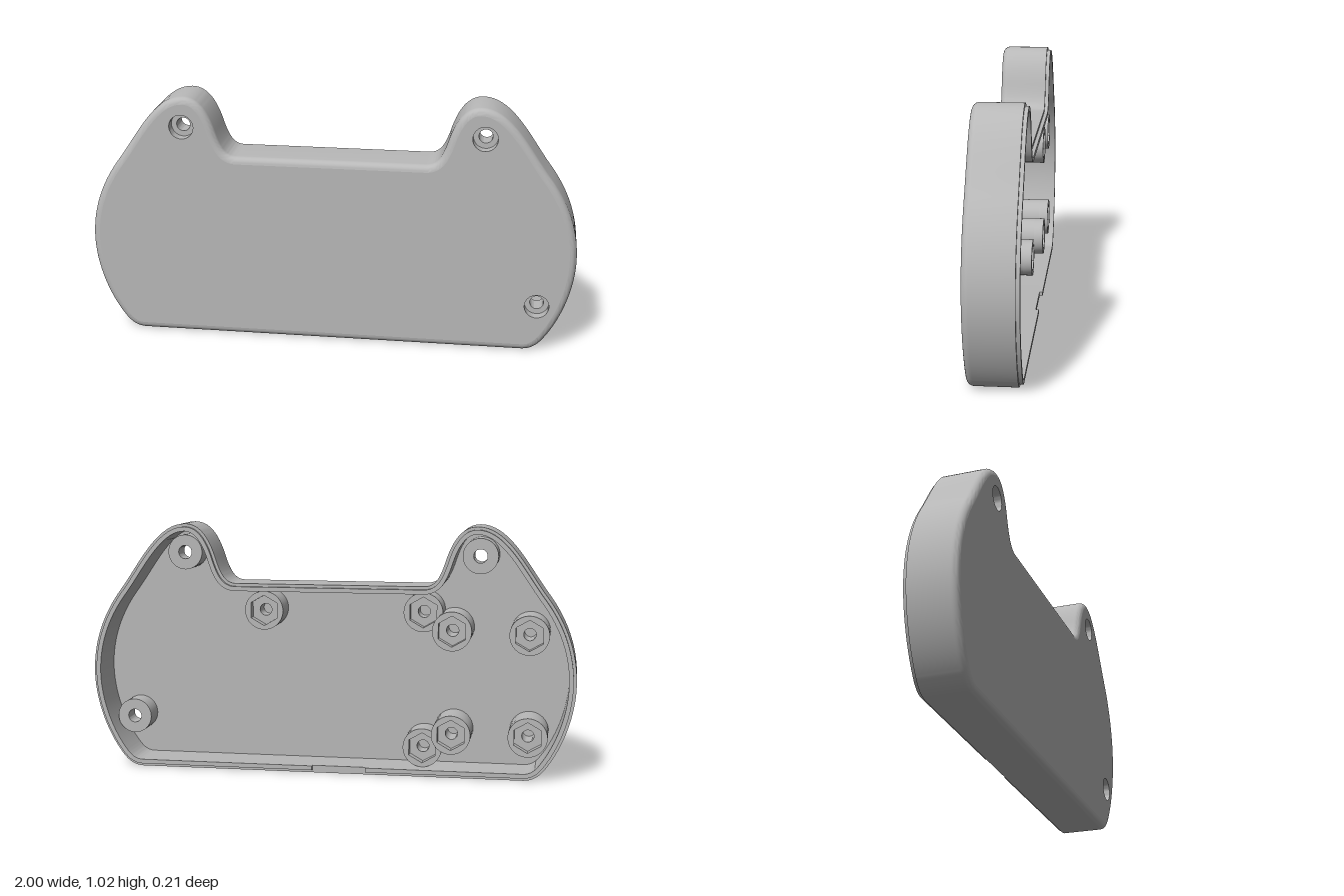
import * as THREE from 'three';
import { toCreasedNormals } from 'three/addons/utils/BufferGeometryUtils.js';

const FRONT = 0.105, FLOOR = 0.07, SEAM = -0.09, LIP = -0.105;
const WALL = 0.03, FILLET = 0.028;
const NOTCH = [-0.15, 0.068];
const SCREWS = [[-0.607, 0.9], [0.618, 0.9], [0.85, 0.2]];

// Closed counter-clockwise outline: right half from curves, left half mirrored
function makeOutline() {
  const s = new THREE.Shape();
  s.moveTo(0.79, 0);
  s.bezierCurveTo(0.835, 0, 0.862, 0.02, 0.89, 0.06);
  s.bezierCurveTo(0.955, 0.15, 1, 0.28, 1, 0.4);
  s.bezierCurveTo(1, 0.53, 0.955, 0.645, 0.88, 0.745);
  s.bezierCurveTo(0.8, 0.85, 0.72, 1.022, 0.6, 1.022);
  s.bezierCurveTo(0.545, 1.022, 0.505, 0.98, 0.475, 0.89);
  s.bezierCurveTo(0.45, 0.81, 0.43, 0.78, 0.385, 0.78);
  const right = s.getPoints(18);
  const left = right.map(p => new THREE.Vector2(-p.x, p.y)).reverse();
  // extra points where the lip notch begins and ends
  const bottom = [NOTCH[0] - 0.002, NOTCH[0], NOTCH[1], NOTCH[1] + 0.002]
    .map(x => new THREE.Vector2(x, 0));
  return [...right, ...left, ...bottom];
}

// Move the outline inwards along its normals
function inset(points, d) {
  const n = points.length;
  return points.map((p, i) => {
    const t = points[(i + 1) % n].clone().sub(points[(i + n - 1) % n]).normalize();
    return new THREE.Vector2(p.x - t.y * d, p.y + t.x * d);
  });
}

// Inner wall, stepped lip, outer wall and rounded front edge as one loft
function shellGeometry(outline) {
  const sections = [[WALL, FLOOR], [WALL, LIP], [0.012, LIP], [0.012, SEAM], [0, SEAM]];
  for (let k = 0; k <= 6; k++) {
    const a = k / 6 * Math.PI / 2;
    sections.push([FILLET * (1 - Math.cos(a)), FRONT - FILLET * (1 - Math.sin(a))]);
  }
  const n = outline.length, pos = [], idx = [];
  for (const [d, z] of sections) {
    inset(outline, d).forEach((p, i) => {
      const o = outline[i];
      const cut = z === LIP && o.y === 0 && o.x >= NOTCH[0] && o.x <= NOTCH[1];
      pos.push(p.x, p.y, cut ? SEAM - 0.002 : z);
    });
  }
  for (let j = 0; j < sections.length - 1; j++) {
    for (let i = 0; i < n; i++) {
      const a = j * n + i, b = j * n + (i + 1) % n;
      idx.push(a, b, b + n, a, b + n, a + n);
    }
  }
  const g = new THREE.BufferGeometry();
  g.setAttribute('position', new THREE.Float32BufferAttribute(pos, 3));
  g.setIndex(idx);
  return toCreasedNormals(g, 0.6);
}

// Flat plate face pierced by the screw holes
function plateGeometry(points, z, towardsBack) {
  const shape = new THREE.Shape(points);
  for (const [x, y] of SCREWS) {
    shape.holes.push(new THREE.Path().absarc(x, y, 0.05, 0, Math.PI * 2, true));
  }
  const g = new THREE.ShapeGeometry(shape, 16);
  if (towardsBack) g.index.array.reverse();
  g.computeVertexNormals();
  return g.translate(0, 0, z);
}

// Screw boss with a counterbore from the front
function bossGeometry() {
  const profile = [[0.05, FRONT], [0.05, 0.06], [0.028, 0.06], [0.028, -0.025],
    [0.072, -0.025], [0.072, FLOOR]].map(p => new THREE.Vector2(...p));
  return toCreasedNormals(new THREE.LatheGeometry(profile, 40).rotateX(Math.PI / 2), 0.6);
}

// Round post with a hole of the given radius and side count
function postGeometry(z0, z1, holeRadius, sides) {
  const shape = new THREE.Shape().absarc(0, 0, 0.08, 0, Math.PI * 2);
  const hole = [];
  for (let i = 0; i < sides; i++) {
    const a = Math.PI / 2 - i / sides * Math.PI * 2;
    hole.push(new THREE.Vector2(Math.cos(a) * holeRadius, Math.sin(a) * holeRadius));
  }
  shape.holes.push(new THREE.Path(hole));
  const g = new THREE.ExtrudeGeometry(shape, { depth: z1 - z0, bevelEnabled: false, curveSegments: 20 });
  return toCreasedNormals(g.translate(0, 0, z0), 0.6);
}

export function createModel() {
  const group = new THREE.Group();
  group.name = 'enclosureHalf';
  const grey = new THREE.MeshStandardMaterial({ color: 0xb8b8b8 });
  grey.name = 'grey plastic';
  const add = (name, geometry, parent = group) => {
    const mesh = new THREE.Mesh(geometry, grey);
    mesh.name = name;
    parent.add(mesh);
    return mesh;
  };

  const outline = makeOutline();
  add('shellWall', shellGeometry(outline));
  add('frontFace', plateGeometry(inset(outline, FILLET), FRONT, false));
  add('innerFloor', plateGeometry(inset(outline, WALL), FLOOR, true));

  const boss = bossGeometry();
  for (const [x, y] of SCREWS) add('screwBoss', boss).position.set(x, y, 0);

  // Standoffs with hexagonal nut pockets: three short and four tall
  const standoffs = [
    [-0.045, [[0.28, 0.665], [-0.38, 0.67], [-0.38, 0.11]]],
    [-0.085, [[-0.5, 0.6], [-0.81, 0.59], [-0.5, 0.175], [-0.81, 0.175]]],
  ];
  for (const [top, places] of standoffs) {
    const pocket = postGeometry(top, top + 0.04, 0.063, 6);
    const base = postGeometry(top + 0.04, FLOOR, 0.025, 24);
    for (const [x, y] of places) {
      const post = new THREE.Group();
      post.name = 'standoff';
      post.position.set(x, y, 0);
      add('nutPocket', pocket, post);
      add('standoffBase', base, post);
      group.add(post);
    }
  }
  return group;
}
